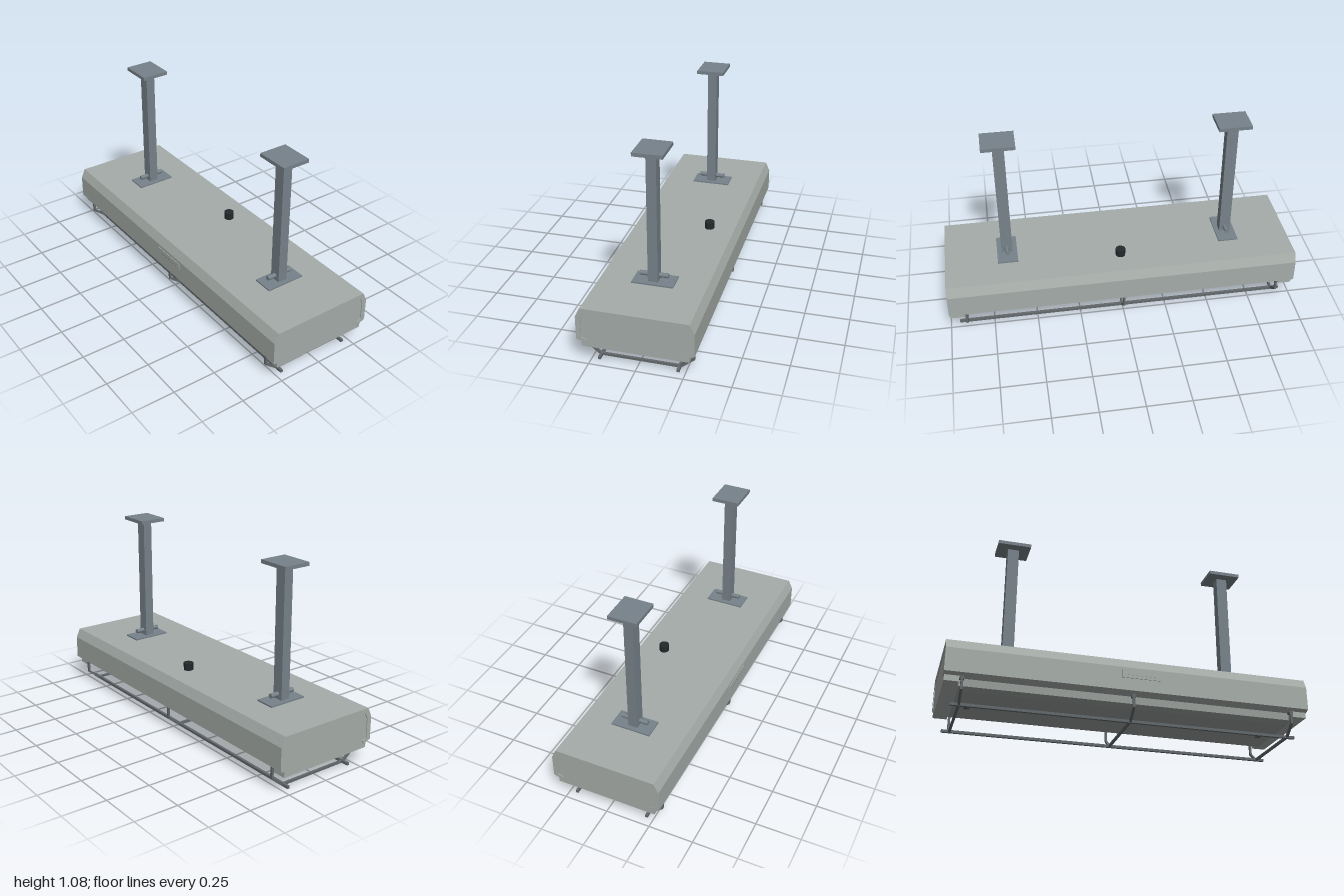
import * as THREE from 'three';

const mat = (name, color) => new THREE.MeshStandardMaterial({ name, color });

export function createModel() {
  const root = new THREE.Group();
  root.name = 'ceilingHeater';
  const casing = mat('casing grey', 0xa5aca8);
  const bracket = mat('bracket steel', 0x77828a);
  const under = mat('underside grey', 0x969c99);
  const bar = mat('guard bar', 0x62686b);
  const black = mat('black', 0x222a2b);

  const add = (parent, name, geo, material, x = 0, y = 0, z = 0) => {
    const m = new THREE.Mesh(geo, material);
    m.name = name;
    m.position.set(x, y, z);
    parent.add(m);
    return m;
  };
  const box = (parent, name, material, w, h, d, x, y, z) =>
    add(parent, name, new THREE.BoxGeometry(w, h, d), material, x, y, z);

  // Extrude a [z, y] outline along x, centred on x = 0
  const prism = (points, width) => {
    const shape = new THREE.Shape(points.map(p => new THREE.Vector2(p[0], p[1])));
    const g = new THREE.ExtrudeGeometry(shape, { depth: width, bevelEnabled: false });
    g.translate(0, 0, -width / 2);
    g.rotateY(-Math.PI / 2);
    return g;
  };
  // Complete a half outline by reflecting it in z
  const mirror = half => [...half, ...half.map(p => [-p[0], p[1]]).reverse()];

  // Bent sheet hood with returned lips
  const outer = [[0.255, 0.148], [0.265, 0.13], [0.31, 0.147], [0.31, 0.277], [0.285, 0.33]];
  const inner = [[0.265, 0.303], [0.283, 0.27], [0.283, 0.161]];
  const full = [...outer, ...outer.map(p => [-p[0], p[1]]).reverse(),
    ...inner.map(p => [-p[0], p[1]]).reverse(), ...inner];
  add(root, 'hood', prism(full, 2), casing);

  // End caps
  const cap = mirror([[0.283, 0.105], [0.283, 0.27], [0.265, 0.303]]);
  for (const s of [-1, 1]) add(root, 'endCap', prism(cap, 0.077), casing, s * 0.957, 0, 0);

  // Inner body with tapered underside
  const body = mirror([[0.195, 0.087], [0.226, 0.105], [0.226, 0.303]]);
  add(root, 'innerBody', prism(body, 1.838), under);
  for (const s of [-1, 1]) box(root, 'undersidePlate', bar, 0.03, 0.005, 0.08, s * 0.84, 0.085, 0);

  // Control panel with a row of indicator dots
  box(root, 'controlPanel', casing, 0.215, 0.044, 0.006, 0.035, 0.238, 0.311);
  for (let i = 0; i < 7; i++)
    box(root, 'indicator', bar, 0.005, 0.004, 0.002, -0.04 + i * 0.025, 0.232, 0.3145);

  // Cable gland on the roof
  add(root, 'cableGland', new THREE.CylinderGeometry(0.028, 0.028, 0.042, 16), black, 0, 0.35, -0.14);

  // Hanging posts
  for (const s of [-1, 1]) {
    const post = new THREE.Group();
    post.name = 'hangingPost';
    post.position.x = s * 0.643;
    root.add(post);
    box(post, 'basePlate', bracket, 0.115, 0.008, 0.226, 0, 0.334, -0.003);
    box(post, 'postTube', bracket, 0.064, 0.735, 0.054, 0, 0.7, 0);
    box(post, 'ceilingPlate', bracket, 0.186, 0.02, 0.16, 0, 1.076, 0);
    const pin = new THREE.CylinderGeometry(0.013, 0.013, 0.154, 16).rotateX(Math.PI / 2);
    add(post, 'crossPin', pin, bracket, 0, 0.367, 0);
  }

  // Guard: three hoops and two long rails
  const hoop = [...[[0.289, 0.145], [0.289, 0.063], [0.215, 0.003]],
    ...[[-0.215, 0.003], [-0.289, 0.063], [-0.289, 0.145]],
    ...[[-0.277, 0.145], [-0.277, 0.069], [-0.21, 0.016]],
    ...[[0.21, 0.016], [0.277, 0.069], [0.277, 0.145]]];
  for (const x of [-0.905, 0, 0.905]) {
    add(root, 'guardHoop', prism(hoop, 0.013), bar, x, 0, 0);
    for (const s of [-1, 1]) box(root, 'hoopClip', bar, 0.024, 0.014, 0.02, x, 0.128, s * 0.275);
  }
  for (const s of [-1, 1]) box(root, 'guardRail', bar, 1.9, 0.015, 0.015, 0, 0.0095, s * 0.21);

  return root;
}
